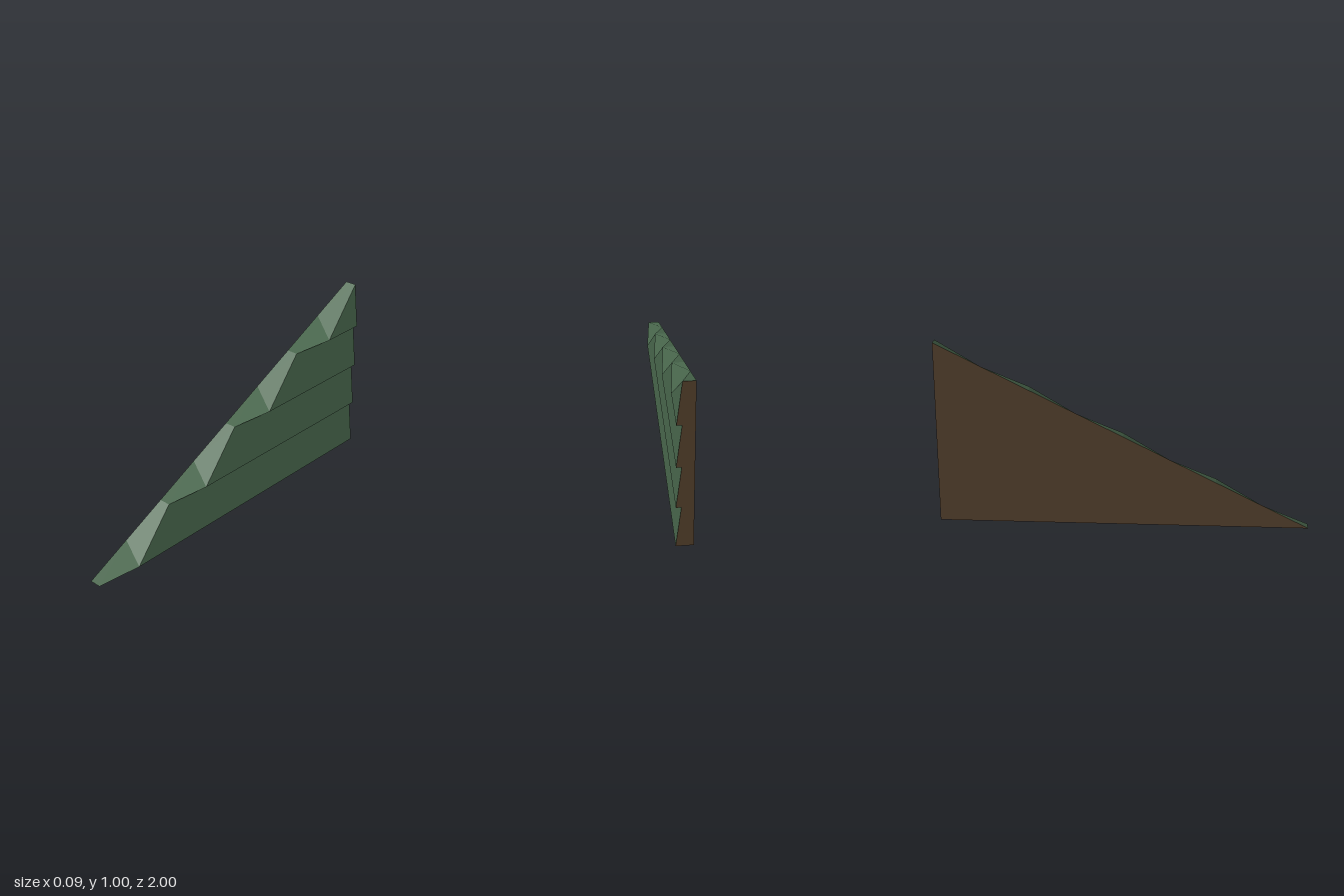
import * as THREE from 'three';

const STEPS = 4;
const H = 1 / STEPS;          // plank height
const BACK = -0.045;          // flat inner face
const THIN = 0.018;           // plank surface at its top edge
const LIP = 0.045;            // plank surface at its bottom edge
const slopeZ = (y) => 1 - 2 * y;

// Flat convex faces; each polygon is a fan with one normal taken from its diagonals
function polygonMesh(name, polygons, material) {
  const pos = [], nor = [];
  for (const poly of polygons) {
    const p = poly.map((c) => new THREE.Vector3(...c));
    const last = p.length === 3 ? p[0] : p[3];
    const a = p.length === 3 ? p[1].clone().sub(p[0]) : p[2].clone().sub(p[0]);
    const b = p.length === 3 ? p[2].clone().sub(p[0]) : last.clone().sub(p[1]);
    const n = a.cross(b).normalize();
    for (let i = 1; i < p.length - 1; i++) {
      for (const v of [p[0], p[i], p[i + 1]]) {
        pos.push(v.x, v.y, v.z);
        nor.push(n.x, n.y, n.z);
      }
    }
  }
  const g = new THREE.BufferGeometry();
  g.setAttribute('position', new THREE.Float32BufferAttribute(pos, 3));
  g.setAttribute('normal', new THREE.Float32BufferAttribute(nor, 3));
  const mesh = new THREE.Mesh(g, material);
  mesh.name = name;
  return mesh;
}

export function createModel() {
  const paint = new THREE.MeshStandardMaterial({ color: 0x4c6b50 });
  paint.name = 'greenPaint';
  const wood = new THREE.MeshStandardMaterial({ color: 0x4a3826 });
  wood.name = 'brownWood';

  const planks = [], slope = [], lips = [], end = [];
  for (let i = 0; i < STEPS; i++) {
    const y = i * H, top = y + H;
    const z0 = slopeZ(y), zm = z0 - H, z1 = slopeZ(top);
    const A = [BACK, y, z0], B = [THIN, y, z0];
    const P = [LIP, y, zm], M = [BACK, y + H / 2, zm];
    const T = [THIN, top, z1], Tb = [BACK, top, z1];

    // Leaning plank face
    planks.push(i < STEPS - 1
      ? [P, [LIP, y, -1], [THIN, top, -1], T]
      : [P, [LIP, y, -1], T]);
    // Sloping edge, following the plank outline
    slope.push([B, P, M, A], [M, P, T, Tb]);
    // Underside of the plank lip
    if (i > 0) lips.push([B, [THIN, y, -1], [LIP, y, -1], P]);
    // Sawtooth end
    end.push([[BACK, y, -1], [BACK, top, -1], [THIN, top, -1], [LIP, y, -1]]);
  }
  const base = [[[BACK, 0, 1], [BACK, 0, -1], [LIP, 0, -1], [LIP, 0, 1 - H], [THIN, 0, 1]]];
  const inner = [[[BACK, 0, -1], [BACK, 0, 1], [BACK, 1, -1]]];

  const group = new THREE.Group();
  group.name = 'slopedSidingWall';
  group.add(
    polygonMesh('sidingPlanks', planks, paint),
    polygonMesh('slopingEdge', slope, paint),
    polygonMesh('plankUndersides', lips, wood),
    polygonMesh('wallEnd', end, wood),
    polygonMesh('wallBase', base, wood),
    polygonMesh('innerFace', inner, wood),
  );
  return group;
}
